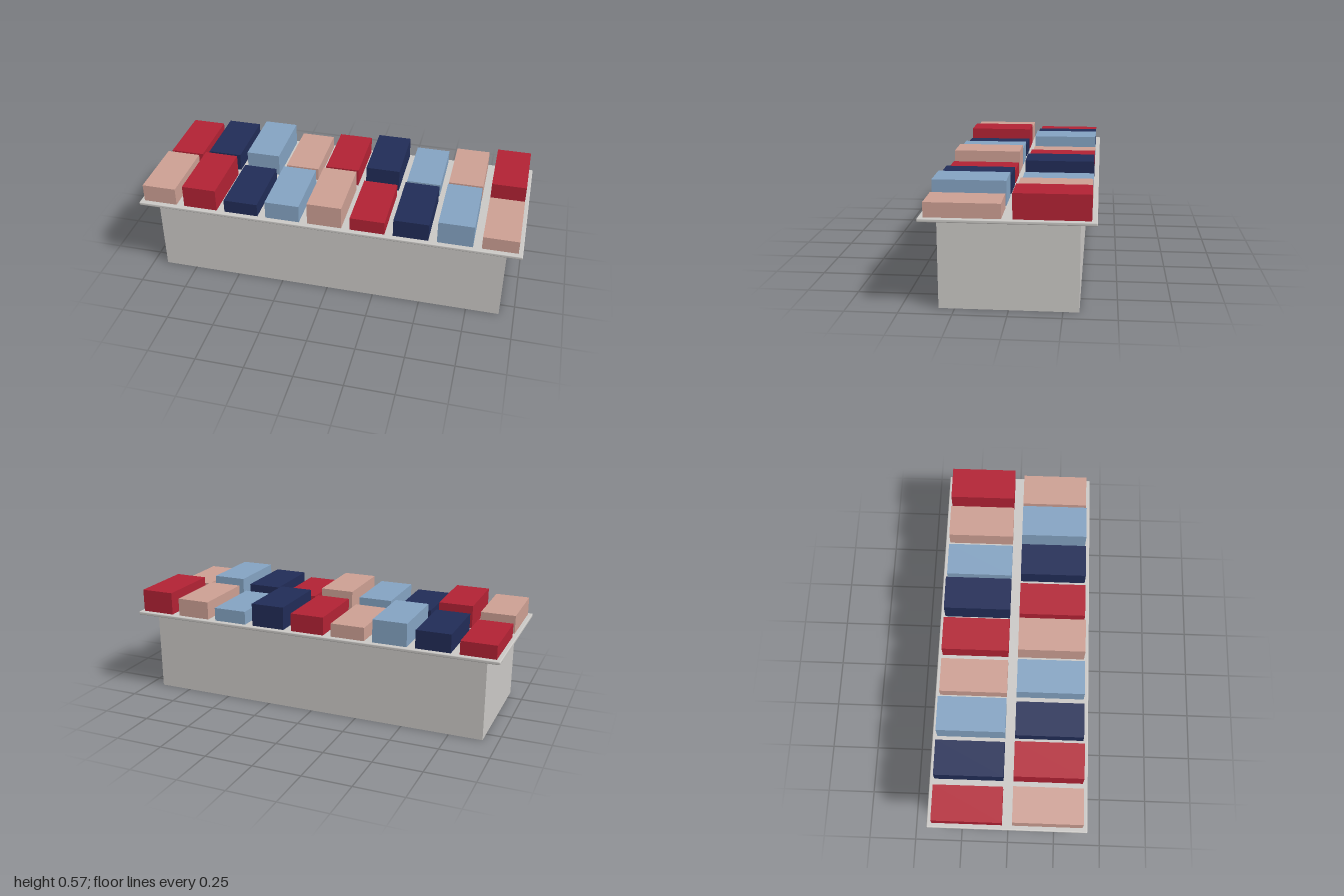
import * as THREE from 'three';
import { RoundedBoxGeometry } from 'three/addons/geometries/RoundedBoxGeometry.js';

const material = (name, color) => {
  const m = new THREE.MeshStandardMaterial({ color });
  m.name = name;
  return m;
};

export function createModel() {
  const model = new THREE.Group();
  model.name = 'displayTable';
  const grey = material('stone grey', 0xcac8c5);
  const stackColors = [
    material('dusty pink', 0xcc9f93),
    material('red', 0xb22234),
    material('navy', 0x212c57),
    material('light blue', 0x84a3c2),
  ];

  const add = (name, geometry, mat, x, y, z) => {
    const mesh = new THREE.Mesh(geometry, mat);
    mesh.name = name;
    mesh.position.set(x, y, z);
    model.add(mesh);
  };

  // Solid base and thin overhanging top with softened edges
  add('base', new THREE.BoxGeometry(1.846, 0.434, 0.65), grey, 0, 0.217, 0);
  add('tableTop', new RoundedBoxGeometry(2, 0.017, 0.8, 3, 0.005), grey, 0, 0.4415, 0);

  // Two rows of folded stacks; colours and heights cycle along each row
  const topY = 0.45;
  const heights = [0.07, 0.095, 0.12];
  for (let row = 0; row < 2; row++) {
    const back = row === 1;
    for (let i = 0; i < 9; i++) {
      const h = heights[(i + (back ? 0 : 1)) % 3];
      const mat = stackColors[(i + (back ? 1 : 0)) % 4];
      add(`${back ? 'back' : 'front'}Stack${i + 1}`, new THREE.BoxGeometry(0.179, h, 0.35), mat,
        (i - 4) * 0.222, topY + h / 2, back ? -0.2 : 0.2);
    }
  }
  return model;
}
